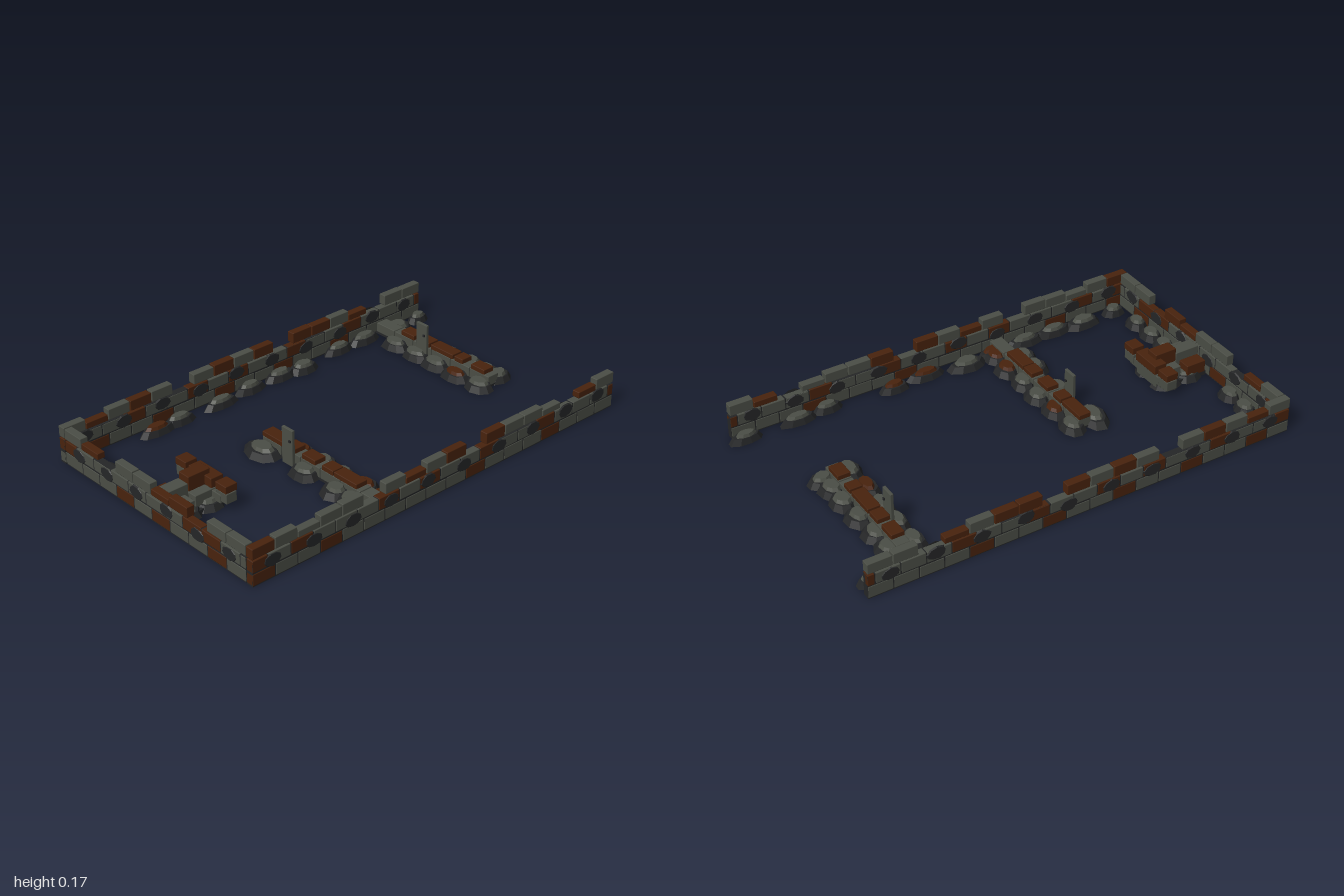
import * as THREE from 'three';
import { RoundedBoxGeometry } from 'three/addons/geometries/RoundedBoxGeometry.js';

export function createModel() {
  const model = new THREE.Group();
  model.name = 'ruinedFoundation';
  const mat = (name, color) => new THREE.MeshStandardMaterial({ name, color });
  const stone = mat('greyStone', 0x4b4e46);
  const rust = mat('rustBrick', 0x49230d);
  const dark = mat('charcoalRock', 0x252627);

  let seed = 7;
  const rnd = () => (seed = (seed * 16807) % 2147483647) / 2147483647;

  const group = (name, parent = model) => {
    const g = new THREE.Group();
    g.name = name;
    parent.add(g);
    return g;
  };
  const add = (parent, name, geo, material) => {
    const m = new THREE.Mesh(geo, material);
    m.name = name;
    parent.add(m);
    return m;
  };
  // Block given by its minimum and maximum corners
  const block = (parent, name, material, x0, x1, y0, y1, z0, z1, bevel = 0.003) => {
    const s = [x1 - x0, y1 - y0, z1 - z0];
    const geo = bevel ? new RoundedBoxGeometry(...s, 1, bevel) : new THREE.BoxGeometry(...s);
    add(parent, name, geo, material).position.set((x0 + x1) / 2, (y0 + y1) / 2, (z0 + z1) / 2);
  };
  // Irregular faceted stone, tapering towards +y
  const rockGeo = (rx, h, rz, taper) => {
    const n = 9, geo = new THREE.CylinderGeometry(taper, 1, 1, n).toNonIndexed();
    const wobble = Array.from({ length: n }, () => 0.85 + rnd() * 0.15);
    const p = geo.attributes.position;
    for (let i = 0; i < p.count; i++) {
      const a = Math.atan2(p.getX(i), p.getZ(i));
      const k = wobble[(Math.round(a / (2 * Math.PI) * n) + n) % n];
      p.setXYZ(i, p.getX(i) * k * rx, (p.getY(i) + 0.5) * h, p.getZ(i) * k * rz);
    }
    geo.computeVertexNormals();
    return geo;
  };

  // Wall courses run along local x from 0; one letter per brick:
  // g grey, b rust, h low grey, c low rust, dot missing
  const course = (parent, letters, x0, len, first, y0, y1, depth) => {
    let x = x0;
    [...letters].forEach((c, i) => {
      const w = i === 0 ? first : Math.min(len, parent.userData.length - x);
      if (c !== '.' && w > 0.01) {
        const low = 'hc'.includes(c);
        block(parent, 'brick', 'bc'.includes(c) ? rust : stone, x + 0.002, x + w - 0.002,
          y0, low ? y0 + 0.028 : y1 - rnd() * 0.005, -depth / 2, depth / 2);
      }
      x += w;
    });
  };
  const outerWall = (name, length, cell, rows) => {
    const wall = group(name);
    wall.userData.length = length;
    block(wall, 'mortarCore', dark, 0.002, length - 0.002, 0, 0.109, -0.016, 0.016, 0);
    course(wall, rows[0], 0, cell, cell, 0.004, 0.058, 0.036);
    course(wall, rows[1], 0, cell, cell * 0.7, 0.06, 0.113, 0.036);
    course(wall, rows[2], 0, cell, cell, 0.117, 0.167, 0.036);
    // Dark stones set into both faces
    const n = Math.round(length / 0.19);
    for (let i = 0; i < n; i++) for (const s of [1, -1]) {
      const m = add(wall, 'inlaidStone', rockGeo(0.048, 0.005, 0.033, 0.85), dark);
      m.rotation.x = s * Math.PI / 2;
      m.position.set((i + 0.5) * length / n, 0.07 + rnd() * 0.022, s * 0.0155);
    }
    return wall;
  };

  const front = outerWall('frontWall', 1.12, 0.112,
    ['gggbgbggbg', 'bggggggbbgg', 'gc.gg' + 'cb.gg']);
  front.position.set(-0.56, 0, 0.98);
  const right = outerWall('rightModelWall', 1.97, 0.1094,
    ['gbggbggbggbggbgggg', 'bggbggbgbggbggbgggb', 'gcgbg.gbgb.bbgc.gg']);
  const left = outerWall('leftModelWall', 1.97, 0.1094,
    ['bggbggggggbgggbggg', 'bgbgggbgbggbggbgggb', 'bghgg.gcgb.bggh.cg']);
  [[right, -1], [left, 1]].forEach(([w, s]) => {
    w.rotation.y = Math.PI / 2;
    w.position.set(s * 0.58, 0, 1);
  });
  // Inlaid stones stay proud of the brick faces
  [front, right, left].forEach(w => w.children.forEach(m => {
    if (m.name === 'inlaidStone') m.position.z = Math.sign(m.position.z) * 0.0152;
  }));

  // Low inner walls with an upright door slab
  const innerWall = (name, x0, x1, z, caps, doorX) => {
    const wall = group(name);
    block(wall, 'base', dark, x0, x1, 0, 0.01, z - 0.032, z + 0.032, 0);
    const n = 6, w = (x1 - x0) / n;
    for (let i = 0; i < n; i++) {
      block(wall, 'footingBlock', stone, x0 + i * w + 0.002, x0 + (i + 1) * w - 0.002,
        0.006, 0.052, z - 0.03, z + 0.03);
    }
    caps.forEach(([a, b]) => block(wall, 'capBrick', rust, a, b, 0.05, 0.073, z - 0.029, z + 0.029));
    block(wall, 'doorSlab', stone, doorX - 0.032, doorX + 0.032, 0, 0.165, z + 0.034, z + 0.048, 0.002);
    block(wall, 'doorKnob', dark, doorX + 0.014, doorX + 0.024, 0.11, 0.12, z + 0.028, z + 0.054, 0);
  };
  innerWall('rearInnerWall', -0.56, 0.14, -0.73,
    [[-0.4, -0.32], [-0.29, -0.225], [-0.215, -0.08], [-0.07, -0.02], [0.03, 0.11]], -0.255);
  innerWall('middleInnerWall', -0.14, 0.56, 0.3,
    [[-0.14, -0.01], [0, 0.06], [0.1, 0.18], [0.22, 0.285], [0.29, 0.42]], 0.035);

  // Collapsed fireplace behind the front wall
  const hearth = group('fireplace');
  block(hearth, 'hearthBase', dark, -0.09, 0.09, 0, 0.02, 0.73, 0.96, 0);
  for (const s of [-1, 1]) {
    block(hearth, 'sideBlock', stone, s * 0.09 - 0.03, s * 0.09 + 0.03, 0.03, 0.07, 0.71, 0.76);
    block(hearth, 'pillar', stone, s * 0.123 - 0.032, s * 0.123 + 0.032, 0.04, 0.085, 0.705, 0.757);
    block(hearth, 'pillarCap', rust, s * 0.123 - 0.032, s * 0.123 + 0.032, 0.087, 0.12, 0.702, 0.76);
    block(hearth, 'cheek', s < 0 ? rust : stone, s * 0.06 - 0.03, s * 0.06 + 0.03, 0.01, 0.075, 0.86, 0.955);
  }
  block(hearth, 'breast', stone, -0.07, 0.07, 0.01, 0.075, 0.71, 0.84);
  block(hearth, 'mantel', rust, -0.07, 0.07, 0.077, 0.12, 0.702, 0.762);
  block(hearth, 'chimneyBrick', rust, -0.03, 0.03, 0.077, 0.142, 0.735, 0.84);
  block(hearth, 'flueBlock', stone, -0.03, 0.03, 0.05, 0.115, 0.842, 0.96);

  // Rubble on the ground: x, z, half width, half depth
  const rubble = group('rubble');
  const heap = (x, z, rx, rz) => {
    add(rubble, 'rubbleBed', rockGeo(rx, 0.028, rz, 0.75), dark).position.set(x, 0, z);
    const top = add(rubble, 'rubbleStone', rockGeo(rx * 0.72, 0.022, rz * 0.66, 0.7), rnd() < 0.15 ? rust : stone);
    top.position.set(x, 0.02, z);
  };
  [[-0.52, -0.92, 0.04, 0.06], [-0.51, -0.78, 0.07, 0.09], [-0.535, -0.6, 0.04, 0.1], [-0.54, -0.45, 0.04, 0.09],
    [-0.515, -0.22, 0.05, 0.08], [-0.53, -0.1, 0.04, 0.09], [-0.53, 0.07, 0.04, 0.09], [-0.515, 0.24, 0.04, 0.1],
    [-0.52, 0.46, 0.04, 0.09], [-0.515, 0.58, 0.04, 0.1],
    [0.53, -0.92, 0.037, 0.082], [0.53, -0.68, 0.036, 0.1], [0.54, -0.54, 0.035, 0.08], [0.52, -0.23, 0.04, 0.08],
    [0.53, -0.07, 0.038, 0.1], [0.505, 0.12, 0.055, 0.1], [0.52, 0.26, 0.04, 0.08], [0.525, 0.43, 0.04, 0.1],
    [0.525, 0.58, 0.04, 0.1], [0.515, 0.73, 0.05, 0.1]].forEach(r => heap(...r));
  // Heaps along the inner walls and front wall
  const row = (xs, z, rx, rz) => xs.forEach(x => heap(x, z + (rnd() - 0.5) * 0.02, rx, rz));
  row([-0.4, -0.29, -0.17, -0.05, 0.04], -0.775, 0.075, 0.065);
  heap(0.11, -0.79, 0.055, 0.075);
  row([-0.4, -0.27, -0.15, -0.02], -0.665, 0.08, 0.055);
  heap(0.11, -0.67, 0.08, 0.06);
  row([-0.11, 0.02, 0.14, 0.26, 0.38, 0.49], 0.25, 0.075, 0.06);
  heap(-0.1, 0.365, 0.1, 0.07);
  row([0.14, 0.33, 0.42], 0.36, 0.075, 0.065);
  row([-0.5, -0.39, -0.28, 0.17, 0.27, 0.38], 0.935, 0.065, 0.05);
  heap(0.52, 0.9, 0.045, 0.06);
  for (const s of [-1, 1]) [0.77, 0.88].forEach(z => heap(s * 0.06, z, 0.06, 0.075));
  return model;
}
